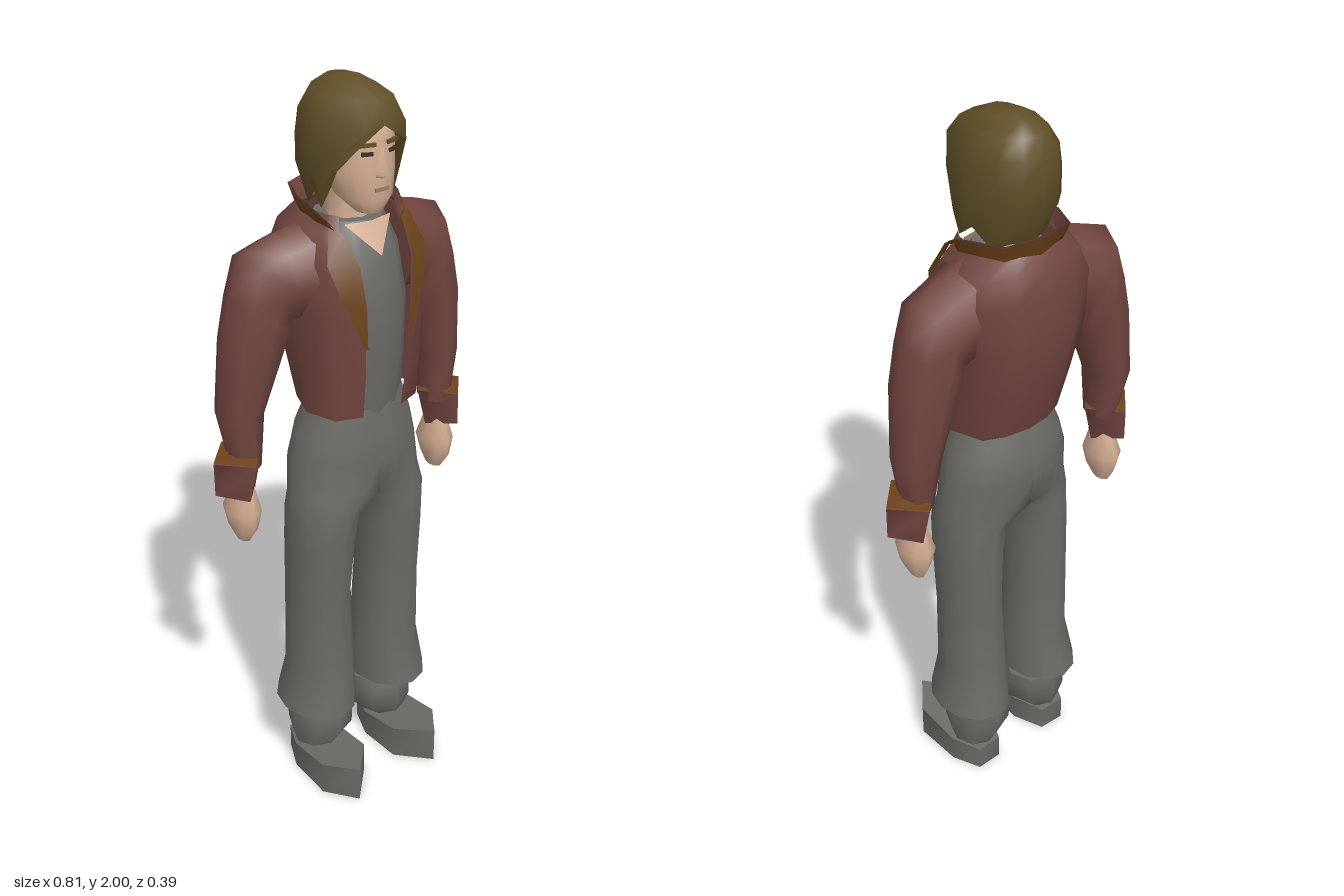
import * as THREE from 'three';

const mat = (name, color) => new THREE.MeshStandardMaterial({ name, color, side: THREE.DoubleSide });
const M = {
  cloth: mat('grey cloth', 0x6b6a66),
  jacket: mat('maroon leather', 0x734640),
  trim: mat('brown trim', 0x6e431a),
  hair: mat('brown hair', 0x615028),
  skin: mat('skin', 0xd3ad92),
  lips: mat('lips', 0xa9795f),
  dark: mat('eyes', 0x3d3024),
};

// Skins rows of [x, y, z] points, ordered bottom to top and front to +x to back
function surface(name, material, rows, { closed = false, side = 1 } = {}) {
  if (side < 0) rows = rows.map(r => r.map(([x, y, z]) => [-x, y, z]).reverse());
  const n = rows[0].length, index = [];
  const cols = closed ? n : n - 1;
  for (let i = 0; i < rows.length - 1; i++) {
    for (let j = 0; j < cols; j++) {
      const k = (j + 1) % n, a = i * n + j, b = i * n + k;
      index.push(a, b, b + n, a, b + n, a + n);
    }
  }
  const g = new THREE.BufferGeometry();
  g.setAttribute('position', new THREE.Float32BufferAttribute(rows.flat(2), 3));
  g.setIndex(index);
  g.computeVertexNormals();
  // Mirrored halves shade smoothly across the centre plane
  const { position, normal } = g.attributes;
  for (let i = 0; i < position.count; i++) if (position.getX(i) === 0) normal.setX(i, 0);
  g.normalizeNormals();
  const mesh = new THREE.Mesh(g, material);
  mesh.name = name;
  return mesh;
}

// Closed loft with hard-edged end caps
function solid(name, material, rings, side = 1) {
  const centre = r => {
    const c = [0, 1, 2].map(k => r.reduce((s, p) => s + p[k], 0) / r.length);
    return r.map(() => c);
  };
  const first = rings[0], last = rings[rings.length - 1];
  return surface(name, material, [centre(first), first, ...rings, last, centre(last)], { closed: true, side });
}

// Rounded ring between outer point a and inner point b, spanning z0..z1
function ring([ax, ay, bx, by, z0, z1], n = 8) {
  return Array.from({ length: n }, (_, i) => {
    const t = (i / n) * Math.PI * 2, s = Math.sin(t) / 2;
    return [(ax + bx) / 2 + s * (ax - bx), (ay + by) / 2 + s * (ay - by), (z0 + z1) / 2 + Math.cos(t) * (z1 - z0) / 2];
  });
}
const level = (y, x0, x1, z0, z1, n) => ring([x1, y, x0, y, z0, z1], n);
const centred = (rows, n) => rows.map(([y, rx, z0, z1]) => level(y, -rx, rx, z0, z1, n));
// Half of a hip section, flat on the centre plane
function hipHalf(y, rx, z0, z1, n) {
  return Array.from({ length: n }, (_, i) => {
    const t = (i / n) * Math.PI * 2, v = (1 + Math.sin(t)) / 2, u = v < 0.1 ? 0 : v;
    const dir = Math.abs(Math.cos(t)) < 1e-6 ? 0 : Math.sign(Math.cos(t));
    return [u * rx, y, (z0 + z1) / 2 + dir * Math.sqrt(1 - u * u) * (z1 - z0) / 2];
  });
}
// Completes a row given from front to centre back
const mirrorRow = half => [...half, ...half.slice(0, -1).reverse().map(([x, y, z]) => [-x, y, z])];

export function createModel() {
  const model = new THREE.Group();
  model.name = 'standing man';
  const add = (...m) => model.add(...m);

  // Shirt
  add(solid('shirt', M.cloth, centred([
    [1.15, 0.125, -0.10, 0.095], [1.3, 0.13, -0.12, 0.112], [1.45, 0.135, -0.14, 0.117],
    [1.59, 0.115, -0.13, 0.095], [1.665, 0.09, -0.12, 0.05]], 12)));

  // Open jacket body
  const jacketRows = [
    [1.17, [0.06, 0.11], [0.13, 0.085], [0.157, 0], [0.125, -0.09], [0.07, -0.115], [0, -0.125]],
    [1.30, [0.064, 0.125], [0.135, 0.092], [0.17, 0], [0.138, -0.12], [0.08, -0.152], [0, -0.163]],
    [1.45, [0.068, 0.13], [0.138, 0.093], [0.19, -0.01], [0.158, -0.145], [0.085, -0.184], [0, -0.196]],
    [1.58, [0.08, 0.115], [0.14, 0.075], [0.20, -0.03], [0.168, -0.142], [0.09, -0.18], [0, -0.198]],
    [1.65, [0.095, 0.06], [0.13, 0.04], [0.17, -0.06], [0.14, -0.135], [0.08, -0.165], [0, -0.18]],
    [1.69, [0.085, 0.045], [0.1, 0.02], [0.112, -0.06], [0.085, -0.125], [0.05, -0.14], [0, -0.15]],
  ];
  add(surface('jacketBody', M.jacket, jacketRows.map(([y, ...p]) => mirrorRow(p.map(([x, z]) => [x, y, z])))));

  // Raised collar: brown outside, maroon inside
  const collarRows = [
    [[0.09, 1.645, 0.062], [0.122, 1.665, 0], [0.12, 1.672, -0.06], [0.09, 1.675, -0.128], [0, 1.675, -0.155]],
    [[0.112, 1.668, 0.052], [0.13, 1.70, 0], [0.137, 1.72, -0.06], [0.1, 1.725, -0.145], [0, 1.735, -0.175]],
  ].map(mirrorRow);
  add(surface('collar', M.trim, collarRows));
  add(surface('collarInside', M.jacket, collarRows.map(r => r.map(([x, y, z]) => [x * 0.96, y + 0.002, -0.05 + (z + 0.05) * 0.96]))));

  for (const side of [1, -1]) {
    const s = side > 0 ? 'left' : 'right';

    // Lapel
    add(surface(s + 'Lapel', M.trim, [
      [[0.066, 1.37, 0.136], [0.073, 1.37, 0.136]],
      [[0.07, 1.48, 0.136], [0.125, 1.5, 0.113]],
      [[0.08, 1.58, 0.122], [0.148, 1.59, 0.082]],
      [[0.09, 1.655, 0.064], [0.12, 1.668, 0.05]],
    ], { side }));

    // Sleeve
    add(solid(s + 'Sleeve', M.jacket, [
      [0.35, 1.05, 0.275, 1.05, -0.11, -0.005],
      [0.376, 1.19, 0.257, 1.2, -0.138, 0.003],
      [0.362, 1.39, 0.20, 1.35, -0.145, 0.026],
      [0.335, 1.51, 0.185, 1.39, -0.148, 0.032],
      [0.30, 1.617, 0.185, 1.41, -0.148, 0.034],
      [0.22, 1.645, 0.165, 1.41, -0.143, 0.042],
      [0.13, 1.67, 0.13, 1.42, -0.14, 0.065],
    ].map(r => ring(r)), side));

    // Four-sided turned-back cuff with brown lining on top
    const cuffTop = ring([0.405, 1.075, 0.257, 1.08, -0.138, 0.022], 4);
    add(solid(s + 'Cuff', M.jacket, [ring([0.405, 0.985, 0.285, 0.97, -0.125, 0.012], 4), cuffTop], side));
    add(surface(s + 'CuffLining', M.trim, [
      cuffTop.map(([x, y, z]) => [x, y + 0.004, z]),
      ring([0.35, 1.088, 0.275, 1.088, -0.105, 0.0], 4),
    ], { closed: true, side }));

    // Hand
    add(solid(s + 'Hand', M.skin, [
      level(0.828, 0.308, 0.34, -0.09, -0.035), level(0.865, 0.293, 0.358, -0.11, -0.008),
      level(0.92, 0.278, 0.37, -0.122, 0.0), level(0.99, 0.297, 0.348, -0.095, -0.02),
    ], side));

    // Flared trouser leg joined to its half of the hips
    add(solid(s + 'TrouserHalf', M.cloth, [
      ...[
        [0.235, 0.02, 0.231, -0.155, 0.105], [0.37, 0.018, 0.208, -0.125, 0.083],
        [0.6, 0.032, 0.204, -0.12, 0.083], [0.78, 0.022, 0.206, -0.118, 0.096],
        [0.875, 0.006, 0.204, -0.12, 0.104],
      ].map(r => level(...r, 12)),
      ...[
        [0.93, 0.2, -0.132, 0.106], [1.03, 0.188, -0.148, 0.108],
        [1.10, 0.17, -0.14, 0.105], [1.2, 0.132, -0.105, 0.09],
      ].map(r => hipHalf(...r, 12)),
    ], side));

    // Boot shaft and angular foot
    add(solid(s + 'BootShaft', M.cloth, [
      level(0.08, 0.06, 0.185, -0.105, 0.035), level(0.13, 0.014, 0.2, -0.125, 0.06),
      level(0.19, 0.01, 0.2, -0.13, 0.06), level(0.222, 0.018, 0.19, -0.127, 0.045),
    ], side));
    const sole = [[0.137, 0.197], [0.202, 0.11], [0.197, -0.03], [0.16, -0.11], [0.085, -0.108], [0.05, -0.02], [0.055, 0.11]];
    const upperY = [0.107, 0.098, 0.08, 0.075, 0.075, 0.08, 0.098];
    add(solid(s + 'Foot', M.cloth, [sole.map(([x, z]) => [x, 0, z]), sole.map(([x, z], i) => [x, upperY[i], z])], side));

    // Eye and brow
    for (const [part, material, y, w, h] of [['Eye', M.dark, 1.843, 0.028, 0.009], ['Brow', M.hair, 1.864, 0.042, 0.009]]) {
      const plate = new THREE.Mesh(new THREE.BoxGeometry(w, h, 0.008), material);
      plate.name = s + part;
      plate.position.set(side * 0.037, y, 0.091);
      plate.rotation.y = side * 0.3;
      add(plate);
    }
  }

  // Neck and open neckline
  add(solid('neck', M.skin, centred([[1.6, 0.07, -0.1, 0.04], [1.68, 0.055, -0.09, 0.025], [1.77, 0.055, -0.09, 0.03]])));
  const tip = [0, 1.588, 0.103];
  add(surface('neckline', M.skin, [[tip, tip, tip], [[-0.07, 1.665, 0.045], [0, 1.665, 0.06], [0.07, 1.665, 0.045]]]));

  // Head, nose and mouth
  add(solid('head', M.skin, centred([
    [1.692, 0.035, 0.015, 0.085], [1.73, 0.068, -0.05, 0.104], [1.79, 0.086, -0.1, 0.102],
    [1.86, 0.09, -0.12, 0.1], [1.91, 0.085, -0.12, 0.09], [1.95, 0.06, -0.09, 0.05]], 16)));
  add(surface('nose', M.skin, [
    [[-0.018, 1.783, 0.095], [0, 1.78, 0.1], [0.018, 1.783, 0.095]],
    [[-0.016, 1.793, 0.098], [0, 1.793, 0.127], [0.016, 1.793, 0.098]],
    [[-0.009, 1.855, 0.095], [0, 1.855, 0.104], [0.009, 1.855, 0.095]],
  ]));
  const mouth = new THREE.Mesh(new THREE.BoxGeometry(0.04, 0.009, 0.008), M.lips);
  mouth.name = 'mouth';
  mouth.position.set(0, 1.755, 0.1);
  add(mouth);

  // Parted hair framing the face, with jagged ends
  add(surface('hair', M.hair, [
    [[0.096, 1.76, 0.03], [0.11, 1.705, 0.008], [0.102, 1.735, -0.03], [0.085, 1.69, -0.08], [0.045, 1.705, -0.11], [0, 1.69, -0.118]],
    [[0.09, 1.80, 0.045], [0.118, 1.765, 0.02], [0.116, 1.79, -0.03], [0.1, 1.79, -0.11], [0.055, 1.79, -0.15], [0, 1.79, -0.165]],
    [[0.07, 1.862, 0.1], [0.096, 1.85, 0.07], [0.115, 1.86, -0.02], [0.1, 1.86, -0.11], [0.055, 1.86, -0.152], [0, 1.86, -0.166]],
    [[0, 1.908, 0.108], [0.058, 1.912, 0.114], [0.109, 1.92, -0.02], [0.09, 1.92, -0.11], [0.05, 1.92, -0.15], [0, 1.92, -0.162]],
    [[0, 1.962, 0.085], [0.055, 1.965, 0.07], [0.085, 1.965, -0.03], [0.065, 1.965, -0.1], [0.035, 1.965, -0.13], [0, 1.965, -0.14]],
    [[0, 1.993, 0.015], [0.03, 1.992, 0], [0.04, 1.992, -0.04], [0.03, 1.992, -0.08], [0.015, 1.992, -0.095], [0, 1.992, -0.1]],
    Array(6).fill([0, 2, -0.04]),
  ].map(mirrorRow)));

  return model;
}
